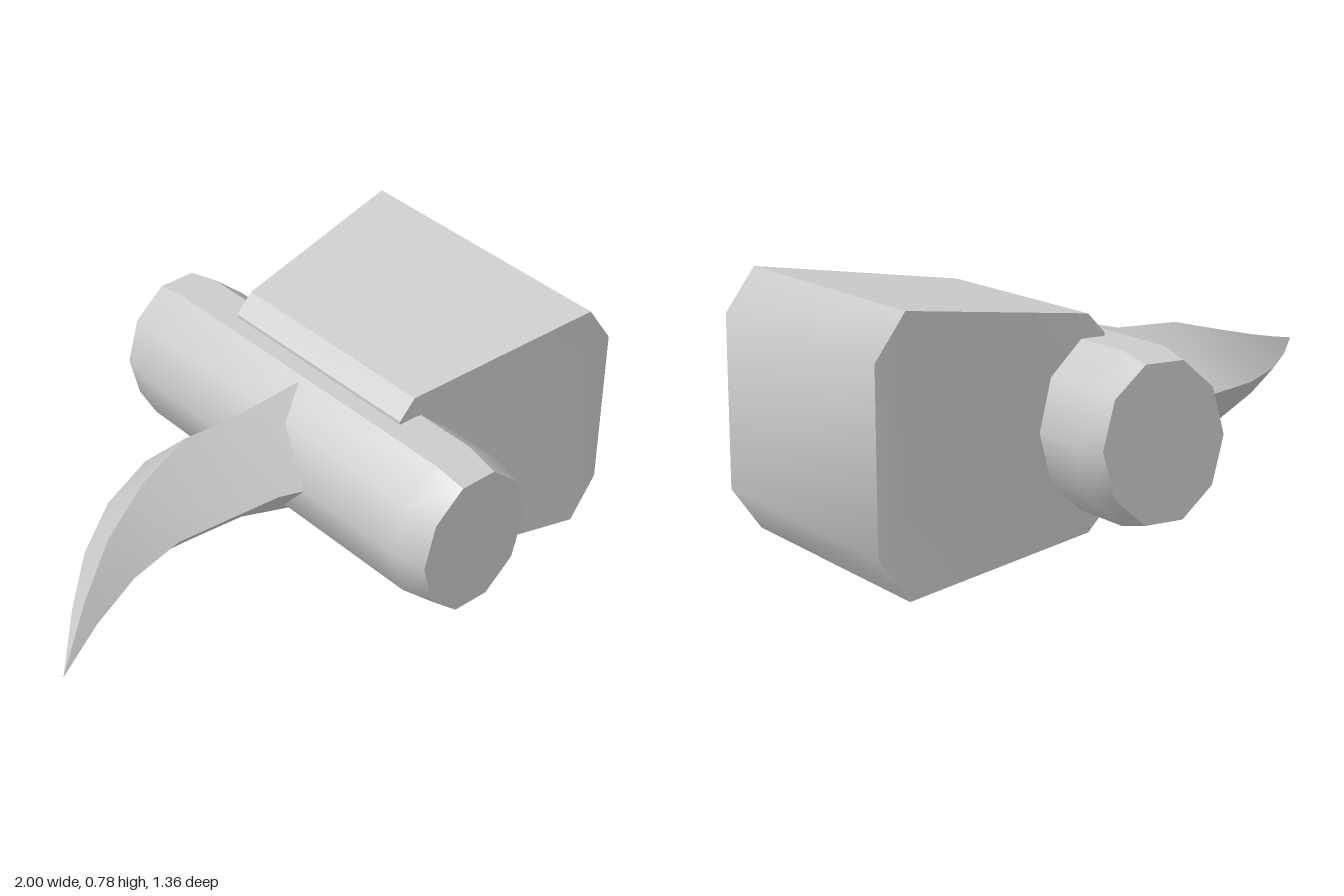
import * as THREE from 'three';
import { toCreasedNormals } from 'three/addons/utils/BufferGeometryUtils.js';

const MID = 0.395; // height of the shared centre line
const CREASE = 0.65;

// Skin four-cornered rings listed by increasing x, with both ends capped.
// Corners run counter-clockwise as seen from +x.
function loft(rings) {
  const index = [];
  const quad = (a, b, c, d) => index.push(a, b, c, a, c, d);
  for (let i = 0; i < rings.length - 1; i++) {
    for (let j = 0; j < 4; j++) {
      const k = (j + 1) % 4;
      quad(i * 4 + j, i * 4 + k, i * 4 + 4 + k, i * 4 + 4 + j);
    }
  }
  const e = (rings.length - 1) * 4;
  quad(3, 2, 1, 0);
  quad(e, e + 1, e + 2, e + 3);
  const g = new THREE.BufferGeometry();
  g.setAttribute('position', new THREE.Float32BufferAttribute(rings.flat(2), 3));
  g.setIndex(index);
  return toCreasedNormals(g, CREASE);
}

export function createModel() {
  const model = new THREE.Group();
  const grey = new THREE.MeshStandardMaterial({ color: 0xcccccc });
  grey.name = 'light grey';
  const add = (name, geometry) => {
    const mesh = new THREE.Mesh(geometry, grey);
    mesh.name = name;
    model.add(mesh);
  };

  // Ten-sided barrel with tapered ends, lying along z and slightly taller than wide
  const profile = [[0, -0.678], [0.907, -0.678], [1, -0.573], [1, 0.573], [0.907, 0.678], [0, 0.678]];
  const barrel = new THREE.LatheGeometry(profile.map(([r, y]) => new THREE.Vector2(r, y)), 10);
  barrel.rotateY(Math.PI / 2).rotateX(Math.PI / 2);
  barrel.scale(0.2175, 0.257, 1).translate(0.2425, MID, 0);
  add('barrel', toCreasedNormals(barrel, CREASE));

  // Flared hammer block: x, half height, half depth
  const block = [[0.23, 0.255, 0.365], [0.285, 0.313, 0.365], [0.907, 0.392, 0.457], [1, 0.262, 0.457]];
  add('hammerBlock', loft(block.map(([x, h, d]) => [
    [x, MID + h, -d], [x, MID + h, d], [x, MID - h, d], [x, MID - h, -d],
  ])));

  // Curved diamond-section spike: back x z, front x z, ridge x z, half height
  const spike = [
    [-1, 0.385, -1, 0.385, -1, 0.385, 0],
    [-0.81, 0.17, -0.8, 0.27, -0.805, 0.222, 0.048],
    [-0.64, 0, -0.6, 0.18, -0.62, 0.09, 0.094],
    [-0.45, -0.14, -0.405, 0.135, -0.425, 0, 0.143],
    [-0.24, -0.23, -0.22, 0.147, -0.235, -0.04, 0.19],
    [-0.04, -0.22, -0.05, 0.16, -0.04, -0.025, 0.19],
    [0.17, -0.21, 0.17, 0.235, 0.17, 0.003, 0.235],
  ];
  add('spike', loft(spike.map(([bx, bz, fx, fz, rx, rz, h]) => [
    [rx, MID + h, rz], [fx, MID, fz], [rx, MID - h, rz], [bx, MID, bz],
  ])));

  return model;
}
